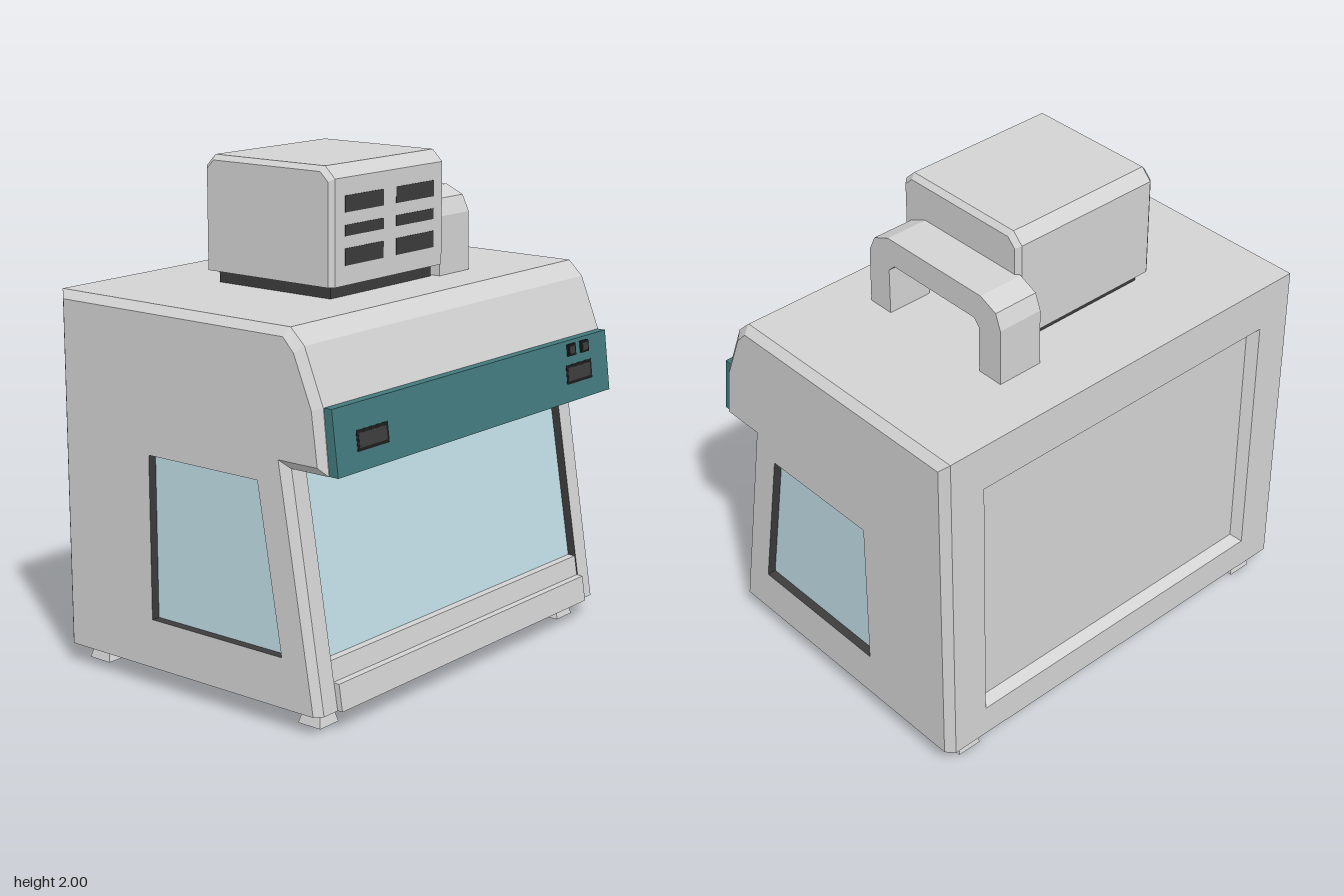
import * as THREE from 'three';

const mat = (name, color) => Object.assign(new THREE.MeshStandardMaterial({ color }), { name });

export function createModel() {
  const root = new THREE.Group();
  root.name = 'safetyCabinet';
  const body = mat('bodyGrey', 0xd3d3d3);
  const teal = mat('tealPanel', 0x427a7d);
  const glass = mat('paleGlass', 0xc1dee6);
  const dark = mat('darkGrey', 0x3c3c3c);
  const black = mat('black', 0x1c1c1c);

  const add = (name, geometry, material, parent = root) => {
    const m = new THREE.Mesh(geometry, material);
    m.name = name;
    parent.add(m);
    return m;
  };
  const box = (name, material, x0, x1, y0, y1, z0, z1, parent) =>
    add(name, new THREE.BoxGeometry(x1 - x0, y1 - y0, z1 - z0), material, parent)
      .position.set((x0 + x1) / 2, (y0 + y1) / 2, (z0 + z1) / 2);

  // flat-shaded geometry from quads of [x, y, z] corners
  const quads = (list) => {
    const pos = [];
    for (const [a, b, c, d] of list) pos.push(...a, ...b, ...c, ...a, ...c, ...d);
    const g = new THREE.BufferGeometry();
    g.setAttribute('position', new THREE.Float32BufferAttribute(pos, 3));
    g.computeVertexNormals();
    return g;
  };

  // skin between [z, y] outlines placed at rising x; skip drops segments of the middle span
  const loft = (sections, skip = []) => {
    const out = [];
    for (let s = 0; s + 1 < sections.length; s++) {
      const [xa, A] = sections[s], [xb, B] = sections[s + 1];
      A.forEach((p, i) => {
        if (s === 1 && skip.includes(i)) return;
        const j = (i + 1) % A.length;
        const at = (x, q) => [x, q[1], q[0]];
        out.push([at(xa, A[i]), at(xb, B[i]), at(xb, B[j]), at(xa, A[j])]);
      });
    }
    return quads(out);
  };

  // group whose local xy plane lies on a face with the given right and up directions
  const plane = (name, origin, right, up) => {
    const g = new THREE.Group();
    g.name = name;
    const u = new THREE.Vector3(...right), v = new THREE.Vector3(...up).normalize();
    g.quaternion.setFromRotationMatrix(new THREE.Matrix4().makeBasis(u, v, u.clone().cross(v)));
    g.position.set(...origin);
    root.add(g);
    return g;
  };
  const rect = (x0, x1, y0, y1) => [[x0, y0], [x1, y0], [x1, y1], [x0, y1]];
  const toShape = (pts) => new THREE.Shape(pts.map((p) => new THREE.Vector2(...p)));

  // [z, y] profile extruded straight across from x0 to x1
  const slab = (name, material, x0, x1, profile) =>
    add(name, new THREE.ExtrudeGeometry(toShape(profile.map(([z, y]) => [-z, y])),
      { depth: x1 - x0, bevelEnabled: false }).rotateY(Math.PI / 2).translate(x0, 0, 0), material);

  // flat wall, optionally with a recess: reveals (splayed inwards by splay) and a floor
  const wall = (g, outline, hole, depth, revealMat, floorMat, splay = 0) => {
    const shape = toShape(outline);
    if (hole) {
      if (THREE.ShapeUtils.isClockWise(toShape(hole).getPoints())) hole = [...hole].reverse();
      shape.holes.push(new THREE.Path(hole.map((p) => new THREE.Vector2(...p))));
      const mid = [0, 1].map((k) => hole.reduce((sum, p) => sum + p[k], 0) / hole.length);
      const floor = hole.map((p) => p.map((v, k) => v - Math.sign(v - mid[k]) * splay));
      add('recessEdge', quads(hole.map((a, i) => {
        const j = (i + 1) % hole.length;
        return [[...a, 0], [...hole[j], 0], [...floor[j], -depth], [...floor[i], -depth]];
      })), revealMat, g);
      add('recessPane', new THREE.ShapeGeometry(toShape(floor)), floorMat, g).position.z = -depth;
    }
    add('wall', new THREE.ShapeGeometry(shape), body, g);
  };
  // left and right end walls for a lofted part, from [z, y] points
  const sides = (name, x0, x1, outline, hole, depth, revealMat, floorMat) => {
    for (const s of [1, -1]) {
      const flip = (pts) => pts && pts.map(([z, y]) => [-s * z, y]);
      const g = plane(name + (s > 0 ? 'Left' : 'Right'), [s > 0 ? x1 : x0, 0, 0], [0, 0, -s], [0, 1, 0]);
      wall(g, flip(outline), flip(hole), depth, revealMat, floorMat);
    }
  };

  // cabinet shell with chamfered sides
  const full = [[0.615, 0.08], [0.467, 0.985], [0.64, 0.985], [0.615, 1.23], [0.53, 1.44],
    [0.467, 1.5], [-0.683, 1.5], [-0.683, 0.08]];
  const inset = [[0.589, 0.08], [0.43, 1.018], [0.612, 1.018], [0.585, 1.222], [0.505, 1.416],
    [0.456, 1.468], [-0.65, 1.468], [-0.65, 0.08]];
  add('cabinetShell', loft([[-0.91, inset], [-0.88, full], [0.88, full], [0.91, inset]], [0, 6]), body);
  sides('sideWall', -0.91, 0.91, inset,
    [[0.44, 0.275], [0.33, 0.925], [-0.212, 0.925], [-0.212, 0.275]], 0.036, dark, glass);

  // sloping front opening with sash glass, sill and kick plate
  const front = plane('frontWall', [0, 0.08, 0.615], [1, 0, 0], [0, 0.905, -0.148]);
  wall(front, rect(-0.88, 0.88, 0, 0.917), rect(-0.803, 0.803, 0.004, 0.915), 0.036, dark, glass);
  slab('sill', body, -0.803, 0.803, [[0.57, 0.082], [0.61, 0.082], [0.58, 0.265], [0.54, 0.265]]);
  slab('kickPlate', body, -0.803, 0.803, [[0.6, 0.081], [0.638, 0.081], [0.622, 0.185], [0.585, 0.185]]);

  // back with splayed recessed panel
  wall(plane('backWall', [0, 0, -0.683], [-1, 0, 0], [0, 1, 0]),
    rect(-0.88, 0.88, 0.08, 1.5), rect(-0.725, 0.725, 0.215, 1.308), 0.04, body, body, 0.03);

  // control panel, displays and buttons
  slab('controlPanel', teal, -0.877, 0.877, [[0.64, 0.985], [0.68, 0.985], [0.65, 1.23], [0.613, 1.23]]);
  const controls = plane('controls', [0, 0.985, 0.68], [1, 0, 0], [0, 0.245, -0.03]);
  for (const x of [-0.667, 0.667]) {
    box('displayFrame', black, x - 0.091, x + 0.091, 0.071, 0.149, -0.004, 0.001, controls);
    box('displayScreen', dark, x - 0.079, x + 0.079, 0.083, 0.137, -0.004, 0.002, controls);
  }
  for (const x of [0.618, 0.711]) {
    box('buttonFrame', black, x - 0.027, x + 0.027, 0.184, 0.232, -0.004, 0.008, controls);
    box('buttonCap', dark, x - 0.018, x + 0.018, 0.193, 0.223, -0.004, 0.01, controls);
  }

  // blower housing on a dark neck
  box('housingNeck', dark, -0.4, 0.22, 1.495, 1.55, -0.308, 0.25);
  const hFull = [[0.29, 1.55], [0.29, 1.955], [0.243, 2], [-0.303, 2], [-0.347, 1.955], [-0.347, 1.55]];
  const hInset = [[0.272, 1.55], [0.272, 1.945], [0.235, 1.98], [-0.295, 1.98], [-0.33, 1.945], [-0.33, 1.55]];
  add('blowerHousing', loft([[-0.44, hInset], [-0.42, hFull], [0.235, hFull], [0.255, hInset]]), body);
  sides('housingEnd', -0.44, 0.255, hInset);

  // vent slots
  for (const [x0, x1] of [[-0.362, -0.133], [-0.055, 0.18]])
    for (const [y0, y1] of [[1.625, 1.69], [1.736, 1.778], [1.825, 1.888]])
      box('ventSlot', dark, x0, x1, y0, y1, 0.285, 0.292);

  // arched duct beside the housing
  slab('archedDuct', body, 0.243, 0.438, [[0.277, 1.5], [0.273, 1.735], [0.242, 1.8], [0.162, 1.835],
    [-0.35, 1.835], [-0.43, 1.8], [-0.455, 1.735], [-0.455, 1.5], [-0.34, 1.5], [-0.34, 1.693],
    [-0.313, 1.724], [0.13, 1.724], [0.162, 1.693], [0.162, 1.5]]);

  // flared square feet, hollow underneath
  const foot = new THREE.LatheGeometry(
    [[0, 0.05], [0.075, 0], [0.044, 0.082]].map((p) => new THREE.Vector2(...p)), 4)
    .rotateY(Math.PI / 4).toNonIndexed();
  foot.computeVertexNormals();
  for (const x of [-0.775, 0.775])
    for (const z of [0.5, -0.59]) add('foot', foot, body).position.set(x, 0, z);

  return root;
}
